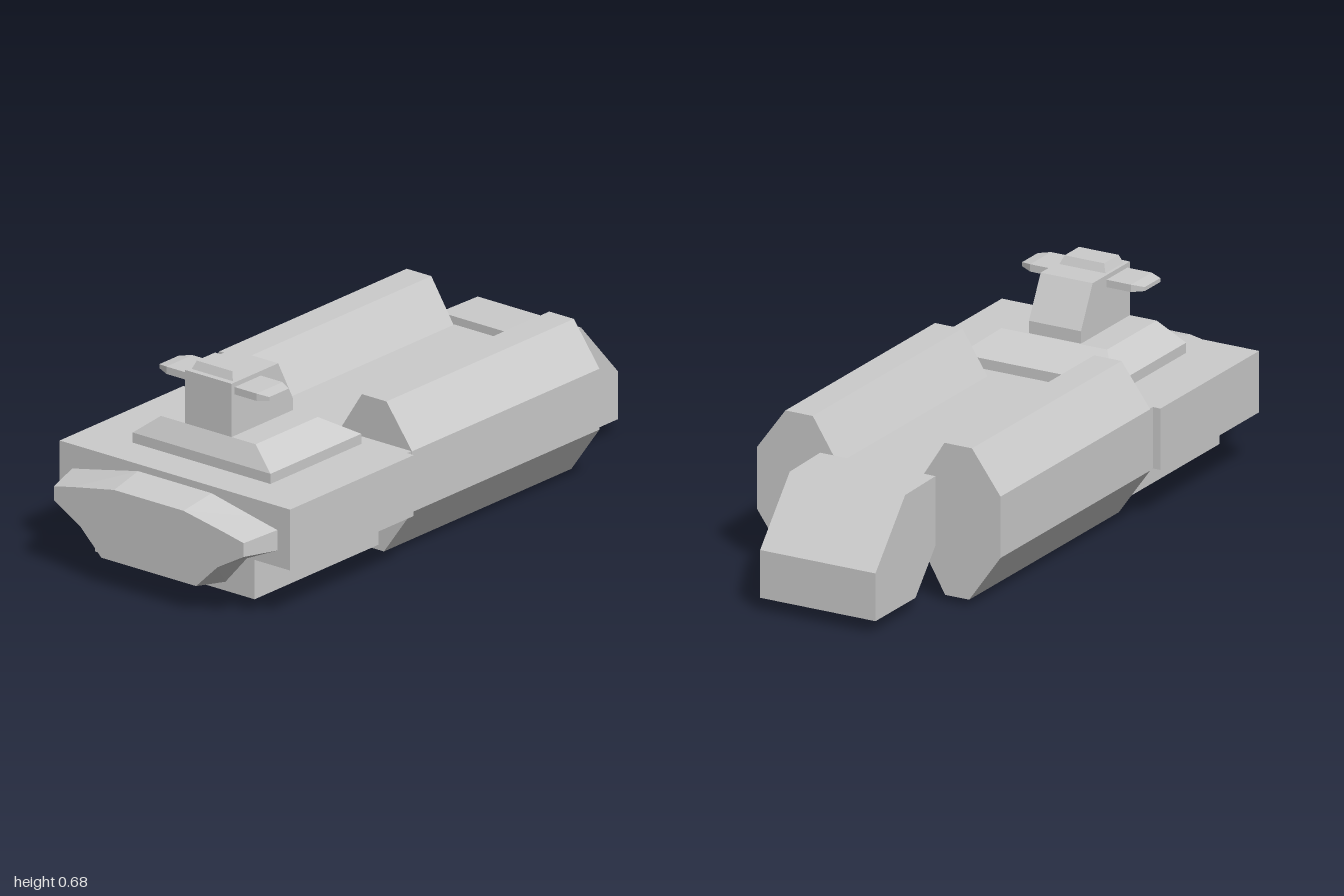
import * as THREE from 'three';

const material = new THREE.MeshStandardMaterial({ color: 0xcccccc, flatShading: true });

// Skins a row of equal-sized rings (counter-clockwise seen from the last one) and caps both ends.
function loft(name, rings) {
  const pos = [];
  const tri = (a, b, c) => pos.push(...a, ...b, ...c);
  const n = rings[0].length;
  const centre = (r) => [0, 1, 2].map((k) => r.reduce((s, p) => s + p[k], 0) / n);
  const first = rings[0], last = rings[rings.length - 1];
  const c0 = centre(first), c1 = centre(last);
  for (let i = 0; i < n; i++) {
    const j = (i + 1) % n;
    for (let k = 0; k + 1 < rings.length; k++) {
      const a = rings[k], b = rings[k + 1];
      tri(a[i], a[j], b[j]);
      tri(a[i], b[j], b[i]);
    }
    tri(c0, first[j], first[i]);
    tri(c1, last[i], last[j]);
  }
  const geo = new THREE.BufferGeometry();
  geo.setAttribute('position', new THREE.Float32BufferAttribute(pos, 3));
  geo.computeVertexNormals();
  const mesh = new THREE.Mesh(geo, material);
  mesh.name = name;
  return mesh;
}

function box(name, x0, x1, y0, y1, z0, z1) {
  const mesh = new THREE.Mesh(new THREE.BoxGeometry(x1 - x0, y1 - y0, z1 - z0), material);
  mesh.position.set((x0 + x1) / 2, (y0 + y1) / 2, (z0 + z1) / 2);
  mesh.name = name;
  return mesh;
}

// Ring helpers: an xy outline at depth z, a rectangle at height y, a zy rectangle at x
const atZ = (pts, z) => pts.map(([x, y]) => [x, y, z]);
const rectY = (y, hx, z0, z1) => [[-hx, y, z1], [hx, y, z1], [hx, y, z0], [-hx, y, z0]];
const rectX = (x, y0, y1, z0, z1) => [[x, y0, z1], [x, y0, z0], [x, y1, z0], [x, y1, z1]];

// Side profile (z, y) swept across the width
const sideProfile = (name, pts, hx) =>
  loft(name, [-hx, hx].map((x) => pts.map(([z, y]) => [x, y, z])));

// Right half outline, bottom to top, completed by mirroring
const mirrored = (half) => [...half, ...half.map(([x, y]) => [-x, y]).reverse()];

export function createModel() {
  const model = new THREE.Group();
  model.name = 'vehicle';

  // Front hull, spine and shoulder joining the pods
  const hull = mirrored([[0.315, 0.048], [0.315, 0.177], [0.455, 0.177], [0.455, 0.376]]);
  model.add(loft('frontHull', [atZ(hull, 0.283), atZ(hull, 0.875)]));
  model.add(box('spine', -0.145, 0.145, 0.177, 0.376, -0.65, 0.283));
  model.add(box('shoulder', -0.428, 0.428, 0.178, 0.376, 0.2, 0.283));

  // Tapered nose
  const noseBack = mirrored([[0.2, 0.077], [0.285, 0.175], [0.405, 0.23], [0.405, 0.297], [0.31, 0.317], [0.145, 0.353]]);
  const noseFront = mirrored([[0.187, 0.097], [0.272, 0.18], [0.375, 0.239], [0.375, 0.284], [0.3, 0.3], [0.137, 0.331]]);
  model.add(loft('nose', [atZ(noseBack, 0.875), atZ(noseFront, 1)]));

  // Eight-sided side pods
  const pod = [[0.235, 0.021], [0.32, 0.021], [0.431, 0.177], [0.431, 0.376],
    [0.33, 0.514], [0.233, 0.514], [0.145, 0.376], [0.145, 0.177]];
  const podMirror = pod.map(([x, y]) => [-x, y]).reverse();
  model.add(loft('leftPod', [atZ(pod, -0.635), atZ(pod, 0.262)]));
  model.add(loft('rightPod', [atZ(podMirror, -0.635), atZ(podMirror, 0.262)]));

  // Sloped rear block
  model.add(sideProfile('rearBlock',
    [[-0.64, 0.177], [-0.76, 0.045], [-1, 0.045], [-1, 0.2], [-0.822, 0.398], [-0.64, 0.402]], 0.204));

  // Turret: bevelled base, head, cap and side fins
  const turret = new THREE.Group();
  turret.name = 'turret';
  turret.add(loft('turretBase', [
    rectY(0.37, 0.272, 0.312, 0.747), rectY(0.409, 0.272, 0.312, 0.747), rectY(0.475, 0.187, 0.418, 0.715)]));
  turret.add(sideProfile('turretHead',
    [[0.715, 0.47], [0.422, 0.47], [0.422, 0.515], [0.492, 0.649], [0.715, 0.649]], 0.092));
  turret.add(loft('turretCap', [rectY(0.645, 0.083, 0.585, 0.697), rectY(0.676, 0.07, 0.598, 0.685)]));
  turret.add(loft('turretFins', [
    rectX(-0.217, 0.615, 0.628, 0.592, 0.686), rectX(-0.178, 0.61, 0.634, 0.575, 0.7),
    rectX(0.178, 0.61, 0.634, 0.575, 0.7), rectX(0.217, 0.615, 0.628, 0.592, 0.686)]));
  model.add(turret);

  // Small feet under the front hull
  for (const [name, s] of [['leftFoot', 1], ['rightFoot', -1]]) {
    const x = 0.188 * s;
    model.add(box(name, x - 0.012, x + 0.012, 0, 0.06, 0.656, 0.769));
  }
  return model;
}
